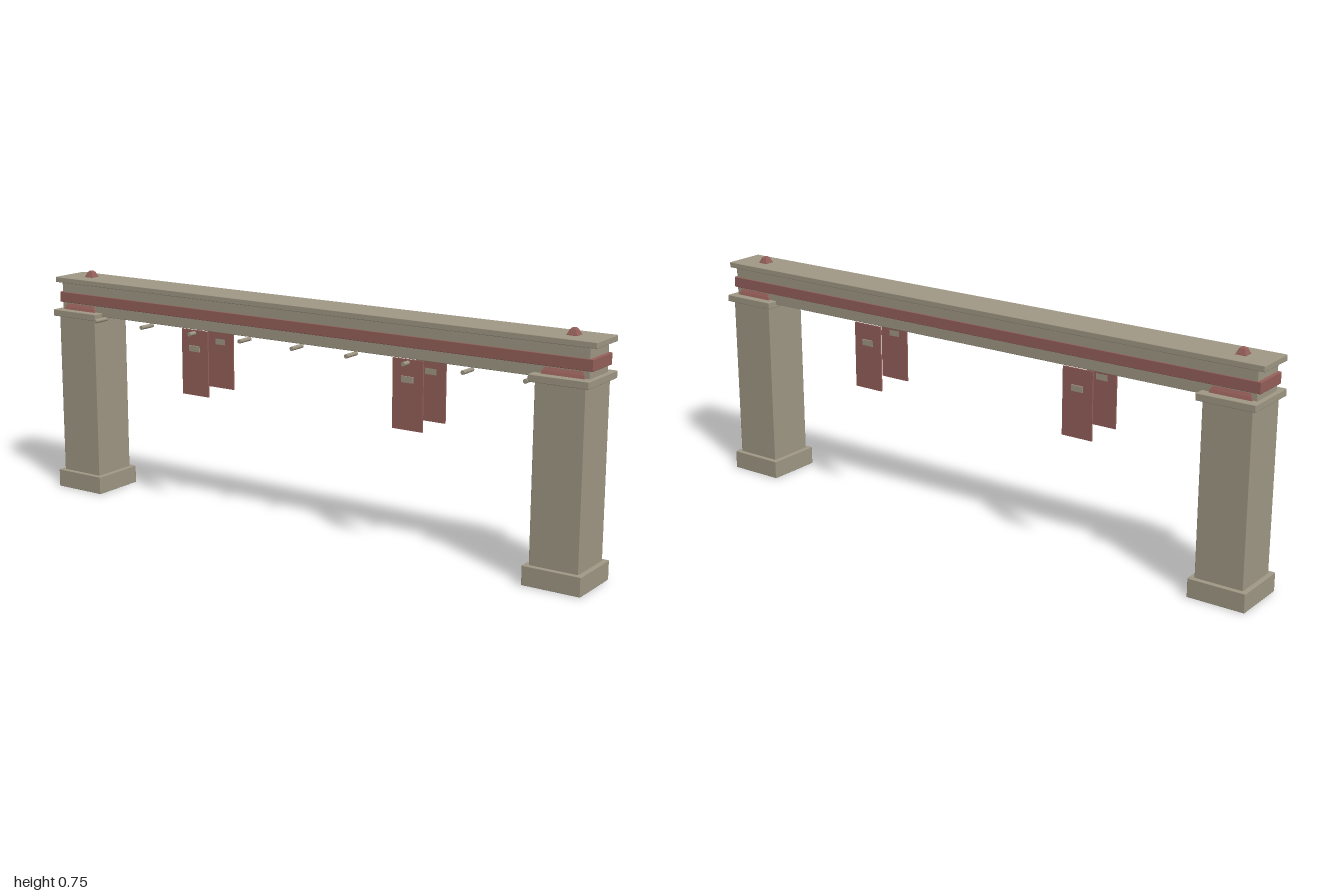
import * as THREE from 'three';
import { RoundedBoxGeometry } from 'three/addons/geometries/RoundedBoxGeometry.js';

const BACK = -0.0015; // masonry centre line, slightly behind the peg tips

export function createModel() {
  const stone = new THREE.MeshStandardMaterial({ color: 0xa09885 });
  stone.name = 'stone';
  const red = new THREE.MeshStandardMaterial({ color: 0x96605a });
  red.name = 'faded red';

  const model = new THREE.Group();
  model.name = 'gateway';

  // Block from its size, its bottom and its centre
  function block(parent, name, mat, w, d, y0, y1, x = 0, z = BACK, bevel = 0.002) {
    const h = y1 - y0;
    const geo = bevel
      ? new RoundedBoxGeometry(w, h, d, 1, bevel)
      : new THREE.BoxGeometry(w, h, d);
    const mesh = new THREE.Mesh(geo, mat);
    mesh.name = name;
    mesh.position.set(x, (y0 + y1) / 2, z);
    parent.add(mesh);
    return mesh;
  }

  // Square tapered solid from [half width, y] rings
  function tapered(parent, name, mat, profile, x) {
    const points = profile.map(([r, y]) => new THREE.Vector2(r * Math.SQRT2, y));
    const geo = new THREE.LatheGeometry(points, 4, Math.PI / 4).toNonIndexed();
    geo.computeVertexNormals();
    const mesh = new THREE.Mesh(geo, mat);
    mesh.name = name;
    mesh.position.set(x, 0, BACK);
    parent.add(mesh);
  }

  // Pillars with plinth, capital, bracket and finial
  for (const side of [-1, 1]) {
    const x = side * 0.898;
    const pillar = new THREE.Group();
    pillar.name = side < 0 ? 'rightPillar' : 'leftPillar';
    block(pillar, 'plinth', stone, 0.187, 0.187, 0, 0.06, x);
    block(pillar, 'shaft', stone, 0.157, 0.157, 0.05, 0.61, x);
    block(pillar, 'capital', stone, 0.187, 0.187, 0.6, 0.622, x);
    tapered(pillar, 'bracket', red,
      [[0, 0.62], [0.068, 0.62], [0.064, 0.631], [0.056, 0.646], [0, 0.646]], x);
    tapered(pillar, 'finial', red,
      [[0.017, 0.726], [0.016, 0.731], [0.009, 0.746], [0.005, 0.75], [0, 0.75]], x);
    model.add(pillar);
  }

  // Layered lintel
  const lintel = new THREE.Group();
  lintel.name = 'lintel';
  block(lintel, 'lowerBeam', stone, 1.956, 0.117, 0.61, 0.645);
  block(lintel, 'redBand', red, 1.976, 0.124, 0.644, 0.679);
  block(lintel, 'upperBeam', stone, 1.956, 0.119, 0.677, 0.713);
  block(lintel, 'coping', stone, 2, 0.137, 0.711, 0.729);
  model.add(lintel);

  // Hanging pegs along the front
  for (let i = -4; i <= 4; i++) {
    const peg = new THREE.Mesh(new THREE.CylinderGeometry(0.007, 0.007, 0.057, 8), stone);
    peg.name = 'peg';
    peg.rotation.x = Math.PI / 2;
    peg.position.set(i * 0.2, 0.601, 0.0685);
    model.add(peg);
  }

  // Banners front and back, each with a small plaque through it
  for (const x of [-0.4, 0.4]) {
    for (const z of [-0.067, 0.066]) {
      const banner = new THREE.Group();
      banner.name = z > 0 ? 'frontBanner' : 'backBanner';
      block(banner, 'cloth', red, 0.105, 0.005, 0.396, 0.611, x, z, 0);
      block(banner, 'plaque', stone, 0.04, 0.0095, 0.541, 0.56, x, z + Math.sign(z) * 0.002, 0);
      model.add(banner);
    }
  }

  return model;
}
